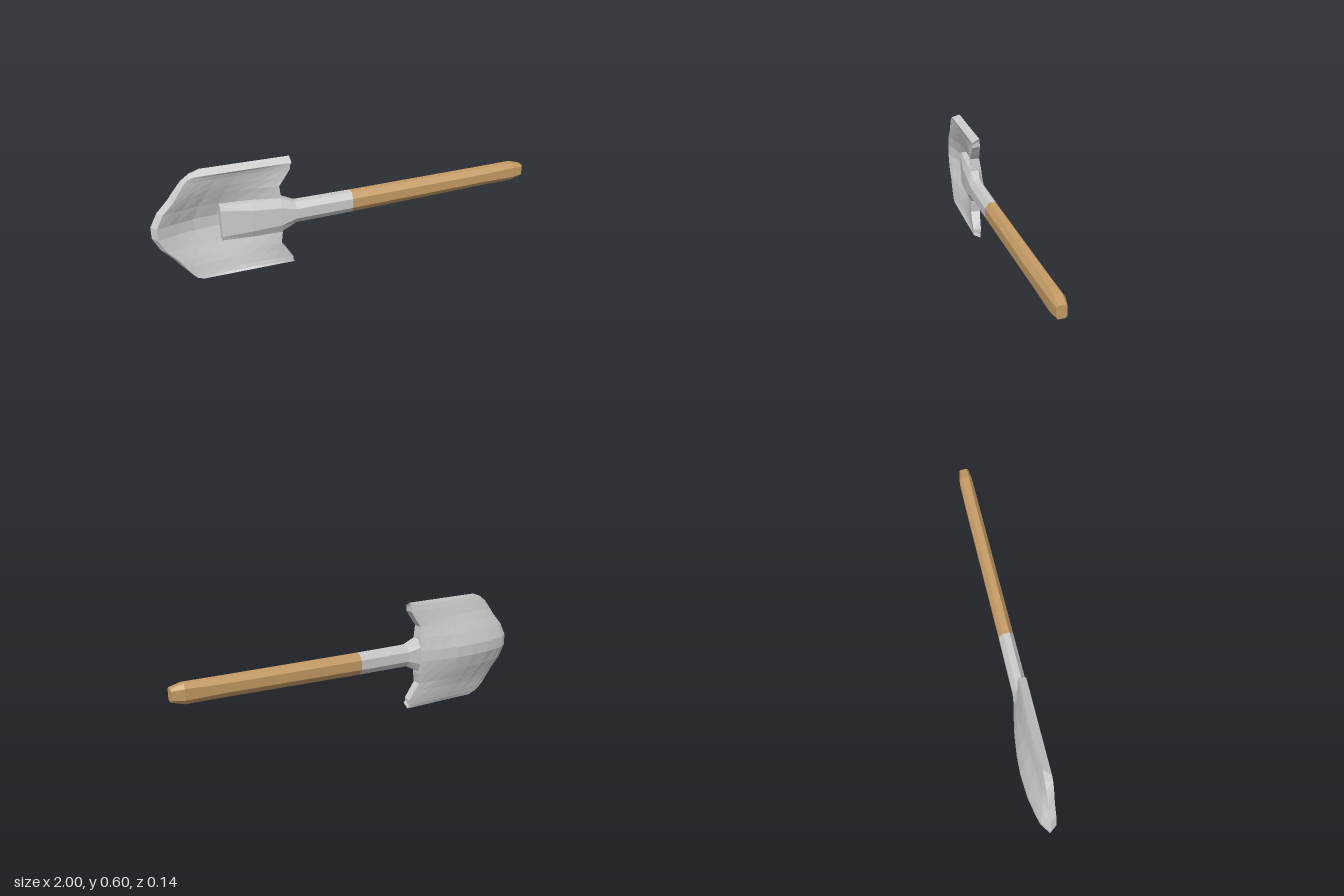
import * as THREE from 'three';

// Skin a stack of closed rings (counter-clockwise seen from the last ring) and cap both ends.
function loft(rings) {
  const pos = [];
  const tri = (a, b, c) => pos.push(...a, ...b, ...c);
  const n = rings[0].length;
  for (let r = 0; r < rings.length - 1; r++) {
    const a = rings[r], b = rings[r + 1];
    for (let i = 0; i < n; i++) {
      const k = (i + 1) % n;
      tri(a[i], a[k], b[k]);
      tri(a[i], b[k], b[i]);
    }
  }
  const first = rings[0], last = rings[rings.length - 1];
  for (let i = 1; i < n - 1; i++) {
    tri(first[0], first[i + 1], first[i]);
    tri(last[0], last[i], last[i + 1]);
  }
  const geo = new THREE.BufferGeometry();
  geo.setAttribute('position', new THREE.Float32BufferAttribute(pos, 3));
  geo.computeVertexNormals();
  return geo;
}

// Eight-sided section across the shaft: a rectangle with cut corners.
function octagon([x, y0, y1, z0, z1, cut = 0.27]) {
  const cy = (y0 + y1) / 2, cz = (z0 + z1) / 2;
  const hy = (y1 - y0) / 2, hz = (z1 - z0) / 2, c = 1 - 2 * cut;
  return [[-1, -c], [-1, c], [-c, 1], [c, 1], [1, c], [1, -c], [c, -1], [-c, -1]]
    .map(([z, y]) => [x, cy + y * hy, cz + z * hz]);
}

function bladeGeometry() {
  // Half rows: back offset from the middle, back tip x, front offset, front tip x, shoulder x, dish depth
  const half = [
    [0.03, -1.0, 0.03, -0.975, -0.37, 1],
    [0.10, -0.965, 0.10, -0.94, -0.37, 0.76],
    [0.16, -0.91, 0.16, -0.885, -0.378, 0.5],
    [0.20, -0.88, 0.20, -0.86, -0.35, 0.34],
    [0.25, -0.84, 0.245, -0.83, -0.32, 0.2],
    [0.28, -0.80, 0.265, -0.81, -0.32, 0.1],
    [0.298, -0.75, 0.275, -0.78, -0.312, 0],
  ];
  // Columns from tip to shoulder: position, back bulge, front hollow
  const cols = [
    [0, 0.12, 0.2], [0.08, 0.55, 0.38], [0.16, 0.72, 0.6], [0.3, 0.92, 0.88], [0.48, 1, 1],
    [0.63, 0.93, 0.9], [0.79, 0.76, 0.6], [0.92, 0.55, 0.25], [1, 0.4, 0.05],
  ];
  const row = ([db, xb, df, xf, xr, f], s) => {
    const front = cols.map(([u, , h]) => [xf + (xr - xf) * u, 0.3 + s * df, 0.048 - 0.07 * f * h]);
    const back = cols.map(([u, g]) => [xb + (xr - xb) * u, 0.3 + s * db, 0.01 - 0.08 * f * g]);
    return [...front, ...back.reverse()];
  };
  return loft([
    ...half.slice().reverse().map((r) => row(r, -1)),
    ...half.map((r) => row(r, 1)),
  ]);
}

export function createModel() {
  const group = new THREE.Group();
  const metal = new THREE.MeshStandardMaterial({ color: 0xcccccc, flatShading: true });
  const wood = new THREE.MeshStandardMaterial({ color: 0xc69c66, flatShading: true });
  const add = (name, geo, mat) => {
    const mesh = new THREE.Mesh(geo, mat);
    mesh.name = name;
    group.add(mesh);
  };

  // Dished blade
  add('blade', bladeGeometry(), metal);

  // Socket: wide tongue in the dish narrowing to the neck
  add('socket', loft([
    [-0.67, 0.205, 0.392, -0.035, 0.03, 0.12],
    [-0.52, 0.205, 0.394, -0.03, 0.055, 0.2],
    [-0.375, 0.207, 0.395, -0.02, 0.066, 0.25],
    [-0.3, 0.248, 0.362, -0.01, 0.068],
    [0, 0.253, 0.363, -0.008, 0.067],
  ].map(octagon)), metal);

  // Wooden handle, tapering at the grip end
  add('handle', loft([
    [0, 0.253, 0.363, -0.008, 0.067],
    [0.76, 0.273, 0.372, -0.008, 0.064],
    [0.94, 0.277, 0.374, -0.006, 0.062, 0.22],
    [1, 0.294, 0.358, 0.008, 0.055, 0.15],
  ].map(octagon)), wood);

  return group;
}
